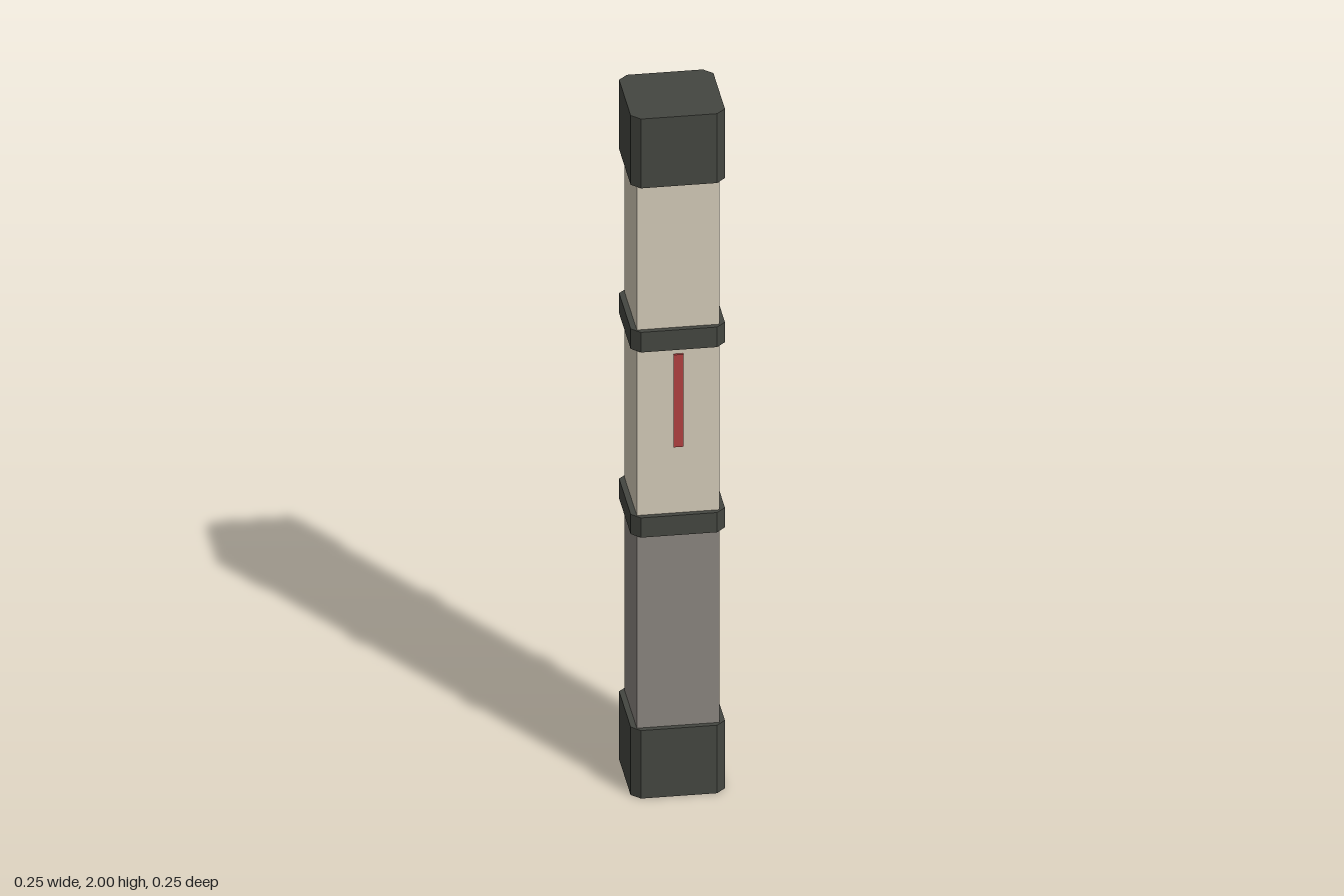
import * as THREE from 'three';

const HALF = 0.124, CHAMFER = 0.024, SHAFT = 0.218;

const material = (color) => new THREE.MeshStandardMaterial({ color, flatShading: true });

export function createModel() {
  const model = new THREE.Group();
  const dark = material(0x444640);
  const cream = material(0xd3cab7);
  const grey = material(0x8a857f);
  const red = material(0xb04040);

  const add = (name, geometry, mat) => {
    const mesh = new THREE.Mesh(geometry, mat);
    mesh.name = name;
    model.add(mesh);
    return mesh;
  };

  // Square outline with cut corners, shared by the caps and bands
  const a = HALF, b = HALF - CHAMFER;
  const outline = new THREE.Shape(
    [[a, -b], [a, b], [b, a], [-b, a], [-a, b], [-a, -b], [-b, -a], [b, -a]]
      .map(([x, y]) => new THREE.Vector2(x, y))
  );
  const collar = (name, y0, y1) => {
    const geometry = new THREE.ExtrudeGeometry(outline, { depth: y1 - y0, bevelEnabled: false });
    geometry.rotateX(-Math.PI / 2);
    add(name, geometry, dark).position.y = y0;
  };
  collar('bottomCap', 0, 0.2);
  collar('lowerBand', 0.768, 0.826);
  collar('upperBand', 1.313, 1.372);
  collar('topCap', 1.796, 2);

  // Square shaft sections, their ends hidden inside the collars
  const shaft = (name, y0, y1, mat) => {
    add(name, new THREE.BoxGeometry(SHAFT, y1 - y0, SHAFT), mat).position.y = (y0 + y1) / 2;
  };
  shaft('lowerShaft', 0.02, 0.797, grey);
  shaft('upperShaft', 0.797, 1.95, cream);

  // Thin red strips on the front and left faces
  const strip = new THREE.BoxGeometry(0.026, 0.272, 0.012);
  add('frontStrip', strip, red).position.set(0, 1.158, 0.109);
  const side = add('leftStrip', strip, red);
  side.position.set(0.109, 1.158, 0);
  side.rotation.y = Math.PI / 2;

  return model;
}
